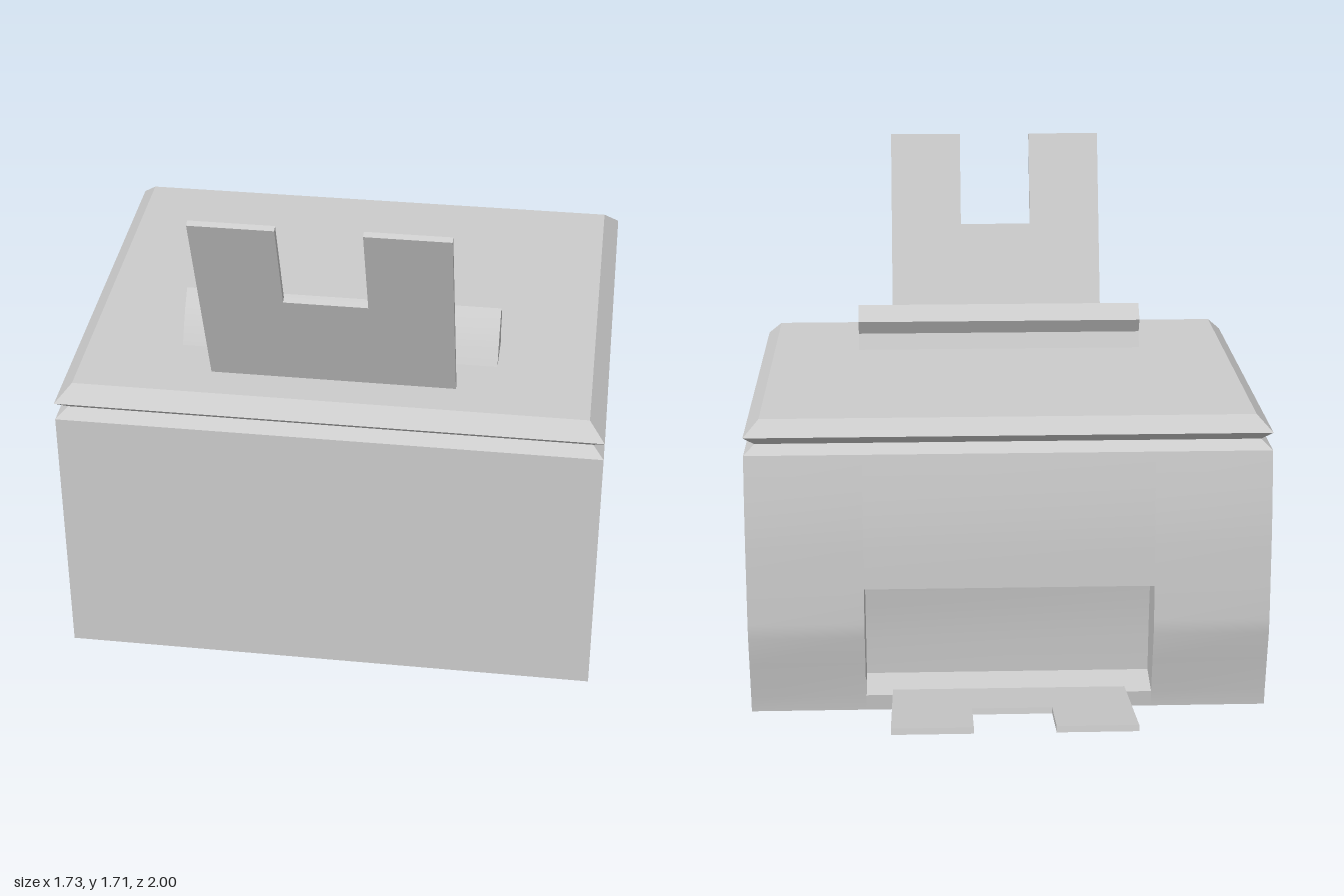
import * as THREE from 'three';
import { toCreasedNormals } from 'three/addons/utils/BufferGeometryUtils.js';

const material = new THREE.MeshStandardMaterial({ color: 0xcccccc, side: THREE.DoubleSide });
const W = 0.865, FRONT = 0.9, BACK = -0.485, TOP = 1.01;

function add(parent, name, geometry) {
  const mesh = new THREE.Mesh(geometry, material);
  mesh.name = name;
  parent.add(mesh);
  return mesh;
}

// Sheet swept along x over a path of [z, y] points, smooth along the path
function sheet(path, x0, x1) {
  const positions = [], index = [];
  path.forEach(([z, y], i) => {
    positions.push(x0, y, z, x1, y, z);
    if (i) {
      const a = 2 * (i - 1);
      index.push(a, a + 2, a + 1, a + 1, a + 2, a + 3);
    }
  });
  const g = new THREE.BufferGeometry();
  g.setAttribute('position', new THREE.Float32BufferAttribute(positions, 3));
  g.setIndex(index);
  g.computeVertexNormals();
  return g;
}

// Flat cut-out of a [z, y] outline at a given x
function sidePanel(outline, x) {
  const shape = new THREE.Shape(outline.map(([z, y]) => new THREE.Vector2(z, y)));
  return new THREE.ShapeGeometry(shape).rotateY(-Math.PI / 2).translate(x, 0, 0);
}

// Stacked rectangular rings, each given as [inset, y]
function rings(levels) {
  const positions = [];
  const corner = ([d, y], k) => [
    [W - d, y, FRONT - d], [W - d, y, BACK + d], [-W + d, y, BACK + d], [-W + d, y, FRONT - d],
  ][k % 4];
  for (let i = 0; i + 1 < levels.length; i++) {
    for (let k = 0; k < 4; k++) {
      const a = corner(levels[i], k), b = corner(levels[i], k + 1);
      const c = corner(levels[i + 1], k + 1), d = corner(levels[i + 1], k);
      positions.push(...a, ...b, ...c, ...a, ...c, ...d);
    }
  }
  const g = new THREE.BufferGeometry();
  g.setAttribute('position', new THREE.Float32BufferAttribute(positions, 3));
  g.computeVertexNormals();
  return g;
}

// Thin plate along +y with a notch in its far end
function notchedPlate(length, notch) {
  const w = 0.39, n = 0.13, t = 0.02;
  const shape = new THREE.Shape([
    [-w, 0], [w, 0], [w, length], [n, length], [n, length - notch],
    [-n, length - notch], [-n, length], [-w, length],
  ].map(([x, y]) => new THREE.Vector2(x, y)));
  return new THREE.ExtrudeGeometry(shape, { depth: t, bevelEnabled: false }).translate(0, 0, -t / 2);
}

export function createModel() {
  const model = new THREE.Group();
  model.name = 'sheetFeeder';

  // Bulged back wall, split around the outlet opening
  const backCurve = [[BACK, 0], [-0.491, 0.055], [-0.515, 0.18], [-0.535, 0.28], [-0.537, 0.33],
    [-0.532, 0.45], [-0.526, 0.58], [-0.519, 0.67], [-0.505, 0.78], [BACK, 0.9]];
  const H = 0.48;
  const body = new THREE.Group();
  body.name = 'body';
  model.add(body);
  add(body, 'frontWall', sheet([[FRONT, 0.9], [FRONT, 0]], -W, W));
  for (const s of [-1, 1]) {
    add(body, 'sideWall', sidePanel([...backCurve, [FRONT, 0.9], [FRONT, 0]], s * W));
    add(body, 'backWallSide', sheet(backCurve, s < 0 ? -W : H, s < 0 ? -H : W));
  }
  add(body, 'backWallSill', sheet(backCurve.slice(0, 2), -H, H));
  add(body, 'backWallUpper', sheet(backCurve.slice(5), -H, H));

  // Outlet recess
  const recess = new THREE.Group();
  recess.name = 'outletRecess';
  model.add(recess);
  const inner = [[-0.36, 0.08], [-0.365, 0.2], [-0.375, 0.32], [-0.395, 0.45]];
  add(recess, 'recessFloor', sheet([backCurve[1], inner[0]], -H, H));
  add(recess, 'recessBack', sheet(inner, -H, H));
  add(recess, 'recessCeiling', sheet([inner[3], backCurve[5]], -H, H));
  for (const s of [-1, 1]) {
    add(recess, 'recessSide', sidePanel([...backCurve.slice(1, 6), ...inner.slice().reverse()], s * H));
  }

  // Lid with a groove below and a bevelled edge
  add(model, 'lidEdge', rings([[0, 0.9], [0.035, 0.93], [0, 0.96], [0.05, TOP]]));
  const d = 0.05, S = 0.38, slotBack = 0.59, slotFront = 0.705;
  const rect = (x, z0, z1) => [[-x, -z0], [-x, -z1], [x, -z1], [x, -z0]]
    .map(([a, b]) => new THREE.Vector2(a, b));
  const lid = new THREE.Shape(rect(W - d, BACK + d, FRONT - d));
  lid.holes.push(new THREE.Path(rect(S, slotBack, slotFront)));
  add(model, 'lidTop', new THREE.ShapeGeometry(lid).rotateX(-Math.PI / 2).translate(0, TOP, 0));

  // V-shaped inlet slot
  const slot = [[slotBack, TOP], [0.65, 0.87], [slotFront, TOP]];
  add(model, 'slotBackWall', sheet(slot.slice(0, 2), -S, S));
  add(model, 'slotFrontWall', sheet(slot.slice(1), -S, S));
  for (const s of [-1, 1]) add(model, 'slotEnd', sidePanel(slot, s * S));

  // Curved guide bar behind the slot
  const bar = new THREE.Shape([
    [0.59, 1.01], [0.565, 1.06], [0.53, 1.115], [0.485, 1.165], [0.43, 1.115], [0.457, 1.065], [0.437, 1.01],
  ].map(([z, y]) => new THREE.Vector2(z, y)));
  const barGeometry = new THREE.ExtrudeGeometry(bar, { depth: 1.02, bevelEnabled: false })
    .rotateY(-Math.PI / 2).translate(0.51, 0, 0);
  add(model, 'guideBar', toCreasedNormals(barGeometry, 0.5));

  // Inlet and outlet trays
  const inlet = add(model, 'inletTray', notchedPlate(0.745, 0.345));
  inlet.position.set(0, TOP, 0.72);
  inlet.rotation.x = Math.atan2(0.27, 0.69);
  const outlet = add(model, 'outletTray', notchedPlate(0.525, 0.245));
  outlet.position.set(0, 0.06, -0.483);
  outlet.rotation.x = -Math.atan2(0.515, 0.092);

  return model;
}
